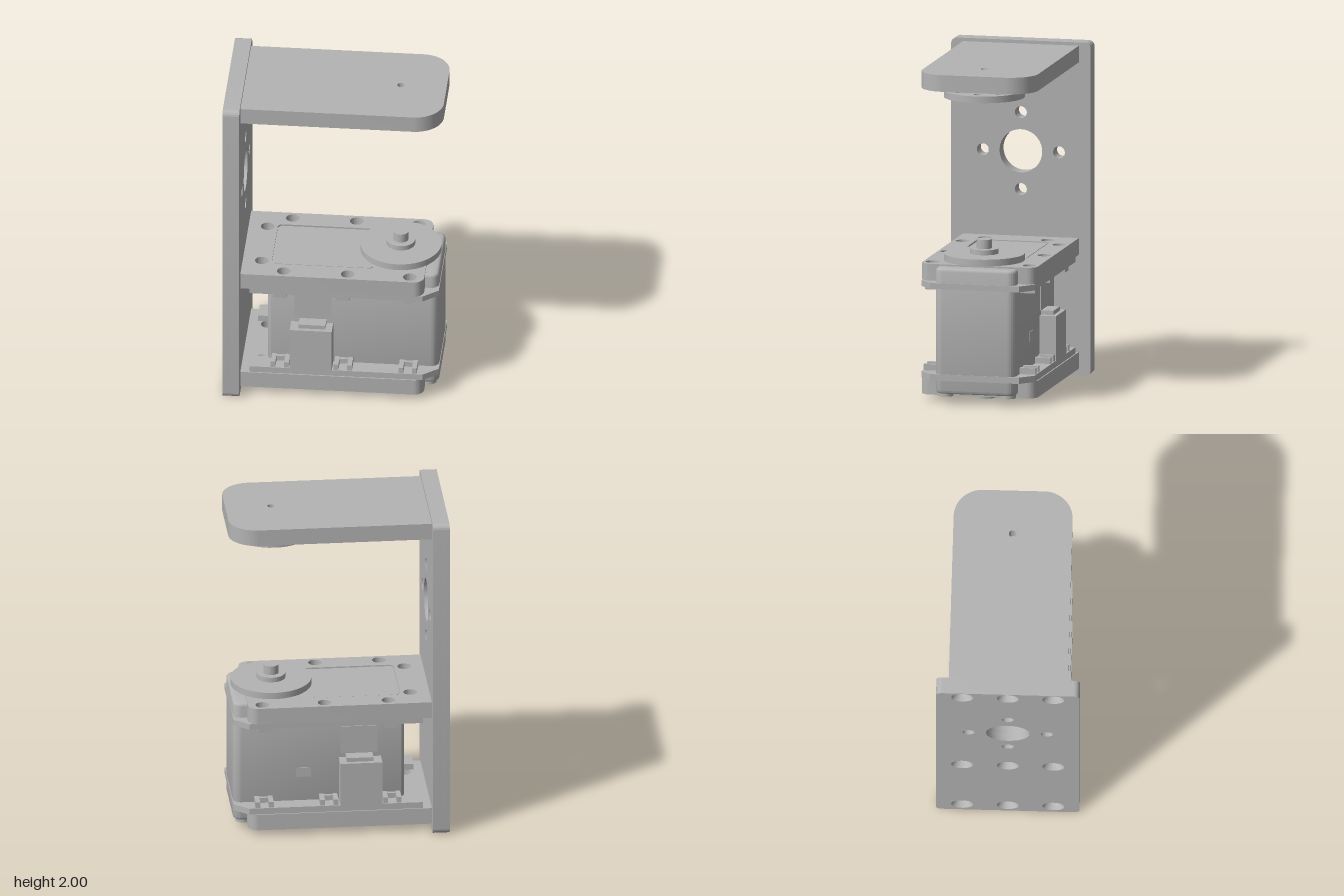
import * as THREE from 'three';
import { toCreasedNormals } from 'three/addons/utils/BufferGeometryUtils.js';

const grey = new THREE.MeshStandardMaterial({ color: 0xb4b4b4, side: THREE.DoubleSide });
grey.name = 'satin grey';

// rectangle with separate corner radii on the low-u and high-u ends
function roundRect(u0, u1, v0, v1, rLow, rHigh = rLow, PathType = THREE.Shape) {
  const s = new PathType();
  s.moveTo(u0 + rLow, v0);
  s.lineTo(u1 - rHigh, v0);
  if (rHigh) s.absarc(u1 - rHigh, v0 + rHigh, rHigh, -Math.PI / 2, 0, false);
  s.lineTo(u1, v1 - rHigh);
  if (rHigh) s.absarc(u1 - rHigh, v1 - rHigh, rHigh, 0, Math.PI / 2, false);
  s.lineTo(u0 + rLow, v1);
  if (rLow) s.absarc(u0 + rLow, v1 - rLow, rLow, Math.PI / 2, Math.PI, false);
  s.lineTo(u0, v0 + rLow);
  if (rLow) s.absarc(u0 + rLow, v0 + rLow, rLow, Math.PI, Math.PI * 1.5, false);
  return s;
}

function drill(shape, u, v, r) {
  const hole = new THREE.Path();
  hole.absarc(u, v, r, 0, Math.PI * 2, true);
  shape.holes.push(hole);
}

export function createModel() {
  const model = new THREE.Group();
  const bracket = new THREE.Group();
  bracket.name = 'servoBracket';
  bracket.rotation.y = -0.027;
  bracket.position.z = 0.012;
  model.add(bracket);

  const add = (name, geometry) => {
    const mesh = new THREE.Mesh(toCreasedNormals(geometry, 0.6), grey);
    mesh.name = name;
    bracket.add(mesh);
    return mesh;
  };
  const box = (name, x0, x1, y0, y1, z0, z1) =>
    add(name, new THREE.BoxGeometry(x1 - x0, y1 - y0, Math.abs(z1 - z0))
      .translate((x0 + x1) / 2, (y0 + y1) / 2, (z0 + z1) / 2));
  const disc = (name, r, y0, y1, x, z = 0) =>
    add(name, new THREE.CylinderGeometry(r, r, y1 - y0, 48).translate(x, (y0 + y1) / 2, z));
  // horizontal slab from an (x, z) outline
  const slab = (name, shape, y0, y1, bevel = 0) =>
    add(name, new THREE.ExtrudeGeometry(shape, {
      depth: y1 - y0 - 2 * bevel, curveSegments: 20, bevelEnabled: bevel > 0,
      bevelSize: bevel, bevelThickness: bevel, bevelOffset: -bevel, bevelSegments: 3,
    }).rotateX(-Math.PI / 2).translate(0, y0 + bevel, 0));

  const axis = 0.38;
  const armRows = [0.09, 0.775, 1.93];
  const screwColumns = [-0.27, 0, 0.27];

  // upright back plate in two layers, so the countersunk screw holes narrow inward
  const plateLayer = (name, x0, x1, screwRadius) => {
    const s = roundRect(-0.425, 0.425, 0, 2, 0.035);
    drill(s, 0, 1.335, 0.13);
    for (const [z, y] of [[0.232, 1.335], [-0.232, 1.335], [0, 1.567], [0, 1.105]]) drill(s, z, y, 0.036);
    for (const y of armRows) for (const z of screwColumns) drill(s, z, y, screwRadius);
    add(name, new THREE.ExtrudeGeometry(s, { depth: x1 - x0, bevelEnabled: false, curveSegments: 20 })
      .rotateY(Math.PI / 2).translate(x0, 0, 0));
  };
  plateLayer('backPlateOuter', -0.643, -0.598, 0.065);
  plateLayer('backPlateInner', -0.598, -0.543, 0.034);
  for (const y of armRows) for (const z of screwColumns)
    add('countersink', new THREE.CylinderGeometry(0.034, 0.065, 0.045, 32, 1, true)
      .rotateZ(-Math.PI / 2).translate(-0.6205, y, z));

  // top arm and its idler horn
  const topArm = roundRect(-0.543, 0.652, -0.3525, 0.3525, 0, 0.17);
  drill(topArm, axis, 0, 0.022);
  slab('topArm', topArm, 1.88, 1.98);
  disc('idlerHub', 0.12, 1.853, 1.88, axis);
  const idler = new THREE.Shape();
  idler.absarc(axis, 0, 0.24, 0, Math.PI * 2, false);
  for (let i = 0; i < 8; i++) {
    const a = (i * Math.PI) / 4;
    drill(idler, axis + 0.175 * Math.cos(a), 0.175 * Math.sin(a), 0.022);
  }
  slab('idlerHorn', idler, 1.815, 1.855);
  const idlerRing = new THREE.Shape();
  idlerRing.absarc(axis, 0, 0.08, 0, Math.PI * 2, false);
  drill(idlerRing, axis, 0, 0.045);
  slab('idlerRing', idlerRing, 1.8, 1.815);
  disc('idlerScrew', 0.028, 1.803, 1.816, axis);

  // two arms that clamp the servo, with screw holes and an inset cover
  const clampArm = (name, y0, y1, coverEnd, bottom) => {
    const s = roundRect(-0.543, 0.545, -0.3525, 0.3525, 0, 0.06);
    for (const side of [-1, 1]) {
      for (const x of [-0.29, 0.09, 0.46]) drill(s, x, side * 0.295, 0.04);
      drill(s, -0.43, side * 0.19, 0.04);
    }
    s.holes.push(roundRect(-0.37, coverEnd, -0.22, 0.22, 0.03, 0.03, THREE.Path));
    if (bottom) drill(s, axis, 0, 0.125);
    slab(name, s, y0, y1);
    slab(name + 'Cover', roundRect(-0.36, coverEnd - 0.01, -0.21, 0.21, 0.025),
      y0 + (bottom ? 0.004 : 0), y1 - (bottom ? 0 : 0.004));
  };
  clampArm('middleArm', 0.725, 0.825, 0.24, false);
  clampArm('bottomArm', 0.04, 0.14, 0.235, true);

  // servo case
  slab('servoCase', roundRect(-0.39, 0.627, -0.245, 0.245, 0.03, 0.05), 0.06, 0.815, 0.02);
  for (const side of [-1, 1]) disc('caseFoot', 0.045, 0.042, 0.14, 0.565, side * 0.19);

  // mounting flanges with chamfered front corners
  for (const [y0, y1] of [[0.69, 0.725], [0.14, 0.178]]) {
    const f = new THREE.Shape([[-0.49, -0.345], [0.54, -0.345], [0.63, -0.27], [0.63, 0.27], [0.54, 0.345],
      [-0.49, 0.345], [-0.49, 0.22], [-0.38, 0.22], [-0.38, -0.22], [-0.49, -0.22]]
      .map(([x, z]) => new THREE.Vector2(x, z)));
    slab('mountingFlange', f, y0, y1);
  }

  // details repeated on both long sides of the servo
  for (const side of [-1, 1]) {
    for (const x of [-0.31, 0.065, 0.45]) {
      box('upperTab', x - 0.04, x + 0.04, 0.662, 0.692, side * 0.24, side * 0.335);
      for (const dx of [-0.04, 0.04])
        box('nutPocketWall', x + dx - 0.014, x + dx + 0.014, 0.175, 0.215, side * 0.24, side * 0.34);
      box('nutPocketBack', x - 0.04, x + 0.04, 0.175, 0.21, side * 0.24, side * 0.265);
    }
    box('connector', -0.25, 0.0, 0.175, 0.445, side * 0.24, side * 0.345);
    box('connectorLip', -0.2, -0.04, 0.445, 0.47, side * 0.24, side * 0.32);
    box('connectorPanel', -0.23, -0.01, 0.475, 0.645, side * 0.244, side * 0.25);
  }
  box('sideWindow', 0.165, 0.255, 0.33, 0.39, -0.249, -0.244);

  // drive horn above the servo
  disc('hornBase', 0.15, 0.81, 0.836, axis);
  disc('driveHorn', 0.24, 0.835, 0.875, axis);
  disc('hornHub', 0.085, 0.875, 0.905, axis);
  disc('hornPin', 0.045, 0.905, 0.96, axis);

  // lower bearing boss with a centre hole
  const boss = new THREE.Shape();
  boss.absarc(axis, 0, 0.068, 0, Math.PI * 2, false);
  drill(boss, axis, 0, 0.032);
  slab('bearingBoss', boss, 0.01, 0.07);

  return model;
}
